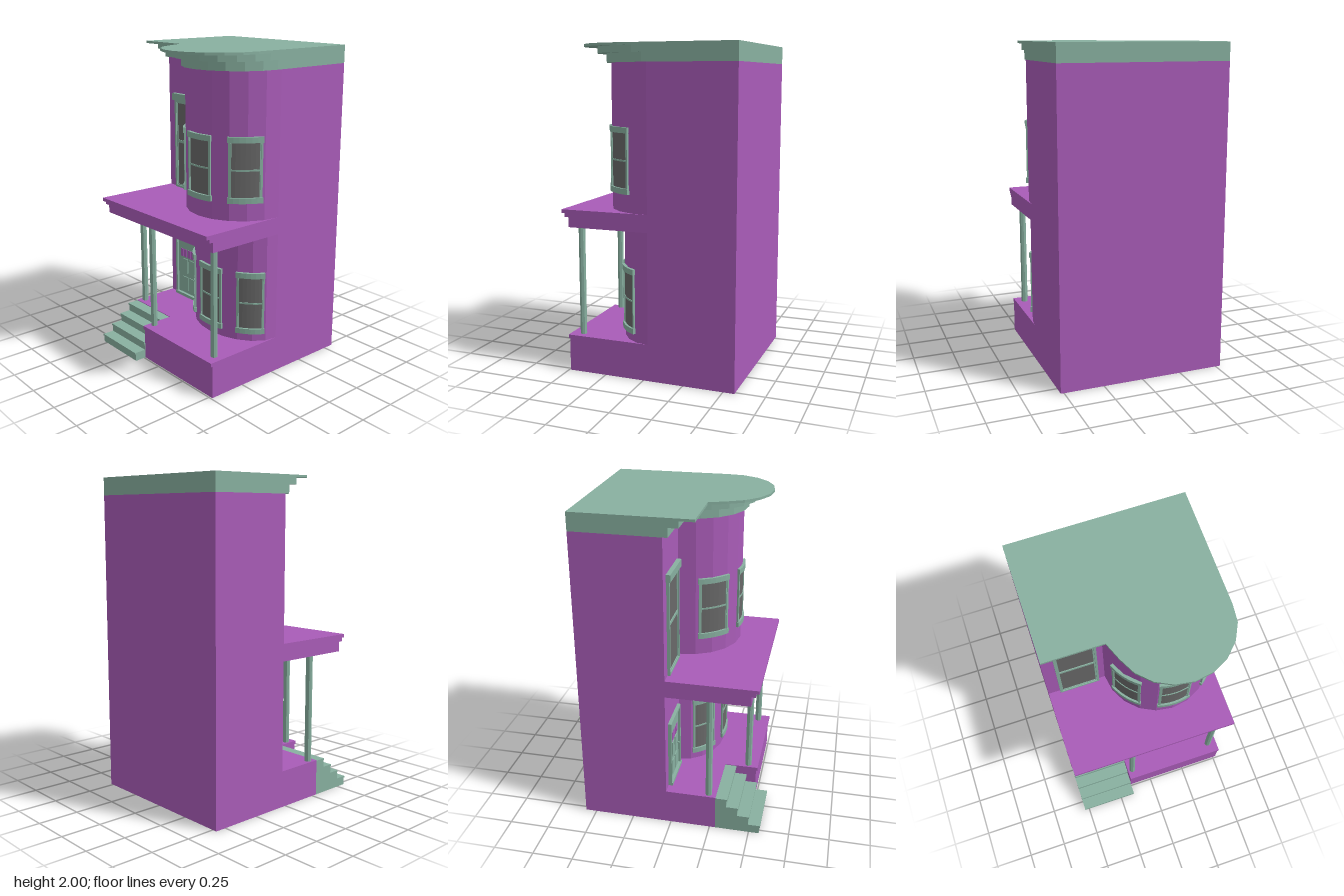
import * as THREE from 'three';

const material = (color) => new THREE.MeshStandardMaterial({ color, flatShading: true, side: THREE.DoubleSide });

export function createModel() {
  const house = new THREE.Group();
  house.name = 'townhouse';
  const purple = material(0xa95cb8), green = material(0x88b0a0), glass = material(0x696969);
  const L = -0.53, R = 0.52, BACK = -0.57, WALL = -0.03, MID = -0.155, BAYX = 0.185, RX = 0.34;

  const add = (name, geometry, mat, parent = house) => {
    const mesh = new THREE.Mesh(geometry, mat);
    mesh.name = name;
    parent.add(mesh);
    return mesh;
  };
  // box given by its limits
  const box = (name, mat, x0, x1, y0, y1, z0, z1, parent) => {
    const g = new THREE.BoxGeometry(x1 - x0, y1 - y0, z1 - z0);
    g.translate((x0 + x1) / 2, (y0 + y1) / 2, (z0 + z1) / 2);
    return add(name, g, mat, parent);
  };
  // prism from a floor plan of [x, z] points
  const prism = (name, mat, plan, y0, y1, parent) => {
    const shape = new THREE.Shape(plan.map(([x, z]) => new THREE.Vector2(x, -z)));
    const g = new THREE.ExtrudeGeometry(shape, { depth: y1 - y0, bevelEnabled: false });
    g.rotateX(-Math.PI / 2);
    g.translate(0, y0, 0);
    return add(name, g, mat, parent);
  };
  // point on the bay curve, angle measured from the front, pushed outward
  const bayPoint = (deg, depth, z, out = 0) => {
    const t = deg * Math.PI / 180, s = Math.sin(t), c = Math.cos(t);
    const n = new THREE.Vector2(s / RX, c / depth).normalize();
    return [BAYX + RX * s + n.x * out, z + depth * c + n.y * out];
  };
  const bayCurve = (depth, z) => {
    const pts = [];
    for (let a = -90; a <= 90; a += 18) {
      const [x, pz] = bayPoint(a, depth, z);
      pts.push([Math.min(x, R), pz]);
    }
    return pts;
  };

  // main walls and the two-storey rounded bay
  box('mainWalls', purple, L, R, 0.205, 1.89, BACK, WALL);
  const lowerDepth = 0.25, upperDepth = 0.34;
  prism('lowerBay', purple, bayCurve(lowerDepth, WALL), 0.205, 0.92);
  prism('upperBay', purple, bayCurve(upperDepth, WALL), 1.0, 1.9);

  // stepped cornice and flat roof following the bay
  [[1.89, 1.945, 0.0], [1.945, 1.985, 0.06], [1.985, 2, 0.15]].forEach(([y0, y1, z], i) => {
    const plan = [[L, BACK], [L, z], [-0.18, z], ...bayCurve(0.34, z).slice(1), [R, BACK]];
    prism('cornice' + (i + 1), green, plan, y0, y1);
  });

  // hollow foundation skirt
  const T = 0.004, DECK = 0.228, LANDING = 0.285;
  box('backSkirt', purple, L, R, 0, 0.205, BACK, BACK + T);
  box('leftSkirt', purple, R - T, R, 0, 0.205, BACK, 0.49);
  box('rightSkirt', purple, L, L + T, 0, 0.205, BACK, LANDING);
  box('porchSkirt', purple, MID, R, 0, 0.205, 0.49 - T, 0.49);
  box('stairSideSkirt', purple, MID, MID + T, 0, 0.205, LANDING, 0.49);
  // porch deck
  prism('porchDeck', purple, [[L, WALL], [L, LANDING], [MID, LANDING], [MID, 0.5], [R, 0.5], [R, WALL]], 0.205, DECK);

  // front steps, open underneath
  const stairs = new THREE.Group();
  stairs.name = 'frontSteps';
  house.add(stairs);
  const stepCount = 4, rise = 0.056, run = 0.0705;
  for (let i = 0; i < stepCount; i++) {
    const front = 0.565 - i * run, top = (i + 1) * rise;
    box('tread', green, L, MID, top - 0.012, top, front - run - 0.004, front + 0.006, stairs);
    box('riser', green, L, MID, top - rise, top - 0.01, front - T, front, stairs);
    for (const x of [L, MID - T]) box('stairSide', green, x, x + T, 0, top, front - run, front, stairs);
  }

  // porch roof with a moulded front edge
  [[0.908, 0.97, 0.485], [0.97, 0.993, 0.51], [0.993, 1.015, 0.53]].forEach(([y0, y1, z], i) =>
    box('porchRoof' + (i + 1), purple, L, R, y0, y1, WALL, z));

  // porch columns
  for (const [x, z] of [[-0.497, 0.238], [-0.123, 0.435], [0.46, 0.425]]) {
    const g = new THREE.CylinderGeometry(0.021, 0.021, 0.908 - DECK, 8);
    g.translate(x, (0.908 + DECK) / 2, z);
    add('porchColumn', g, green);
  }

  // windows curved round the bay
  const bayWindow = (name, centre, depth, y0, y1) => {
    const group = new THREE.Group();
    group.name = name;
    house.add(group);
    const band = (part, mat, a0, a1, b0, b1, out) => {
      const outer = [], inner = [], n = 6;
      for (let i = 0; i <= n; i++) {
        const a = centre + a0 + (a1 - a0) * i / n;
        outer.push(bayPoint(a, depth, WALL, out));
        inner.unshift(bayPoint(a, depth, WALL, -0.008));
      }
      prism(part, mat, [...outer, ...inner], b0, b1, group);
    };
    const m = (y0 + y1) / 2;
    band('pane', glass, -15, 15, y0 + 0.03, y1 - 0.03, 0.003);
    band('sill', green, -17.5, 17.5, y0, y0 + 0.034, 0.016);
    band('head', green, -17.5, 17.5, y1 - 0.034, y1, 0.016);
    band('middleRail', green, -15, 15, m - 0.005, m + 0.005, 0.007);
    for (const s of [-1, 1]) {
      band('jamb', green, s * 15.8 - 1, s * 15.8 + 1, y0 + 0.03, y1 - 0.03, 0.011);
      band('sash', green, s * 14.4 - 0.5, s * 14.4 + 0.5, y0 + 0.03, y1 - 0.03, 0.007);
    }
  };
  for (const a of [-52, 0, 52]) {
    bayWindow('lowerBayWindow', a, lowerDepth, 0.28, 0.678);
    bayWindow('upperBayWindow', a, upperDepth, 1.125, 1.518);
  }

  // rectangular frame on the flat front wall
  const frame = (name, x0, x1, y0, y1, w, depth, parent) => {
    for (const x of [x0, x1 - w]) box(name, green, x, x + w, y0, y1, WALL, WALL + depth, parent);
    for (const y of [y0, y1 - w]) box(name, green, x0, x1, y, y + w, WALL, WALL + depth, parent);
  };

  // tall window above the porch
  const tall = new THREE.Group();
  tall.name = 'tallWindow';
  house.add(tall);
  frame('windowFrame', -0.455, -0.197, 1.015, 1.61, 0.013, 0.018, tall);
  frame('windowSash', -0.444, -0.208, 1.025, 1.6, 0.01, 0.011, tall);
  box('pane', glass, -0.44, -0.21, 1.03, 1.6, WALL, WALL + 0.006, tall);
  box('middleRail', green, -0.44, -0.21, 1.325, 1.343, WALL, WALL + 0.012, tall);
  box('head', green, -0.468, -0.186, 1.61, 1.655, WALL, WALL + 0.028, tall);

  // front door with raised panels and a row of small lights
  const door = new THREE.Group();
  door.name = 'frontDoor';
  house.add(door);
  frame('doorFrame', -0.46, -0.2, DECK, 0.68, 0.016, 0.022, door);
  box('doorLeaf', green, -0.445, -0.215, DECK, 0.67, WALL, WALL + 0.008, door);
  box('threshold', green, -0.46, -0.2, DECK, 0.248, WALL, WALL + 0.028, door);
  box('topPanel', green, -0.41, -0.25, 0.59, 0.66, WALL, WALL + 0.015, door);
  for (let i = 0; i < 5; i++) {
    const x = -0.416 + i * 0.036;
    box('doorLight', purple, x, x + 0.028, 0.517, 0.573, WALL, WALL + 0.012, door);
  }
  for (const x of [-0.39, -0.32]) {
    box('doorPanel', green, x, x + 0.05, 0.4, 0.503, WALL, WALL + 0.014, door);
    box('doorPanel', green, x, x + 0.05, 0.27, 0.37, WALL, WALL + 0.014, door);
  }
  add('doorKnob', new THREE.SphereGeometry(0.008, 8, 6), green, door).position.set(-0.248, 0.42, WALL + 0.018);

  return house;
}
